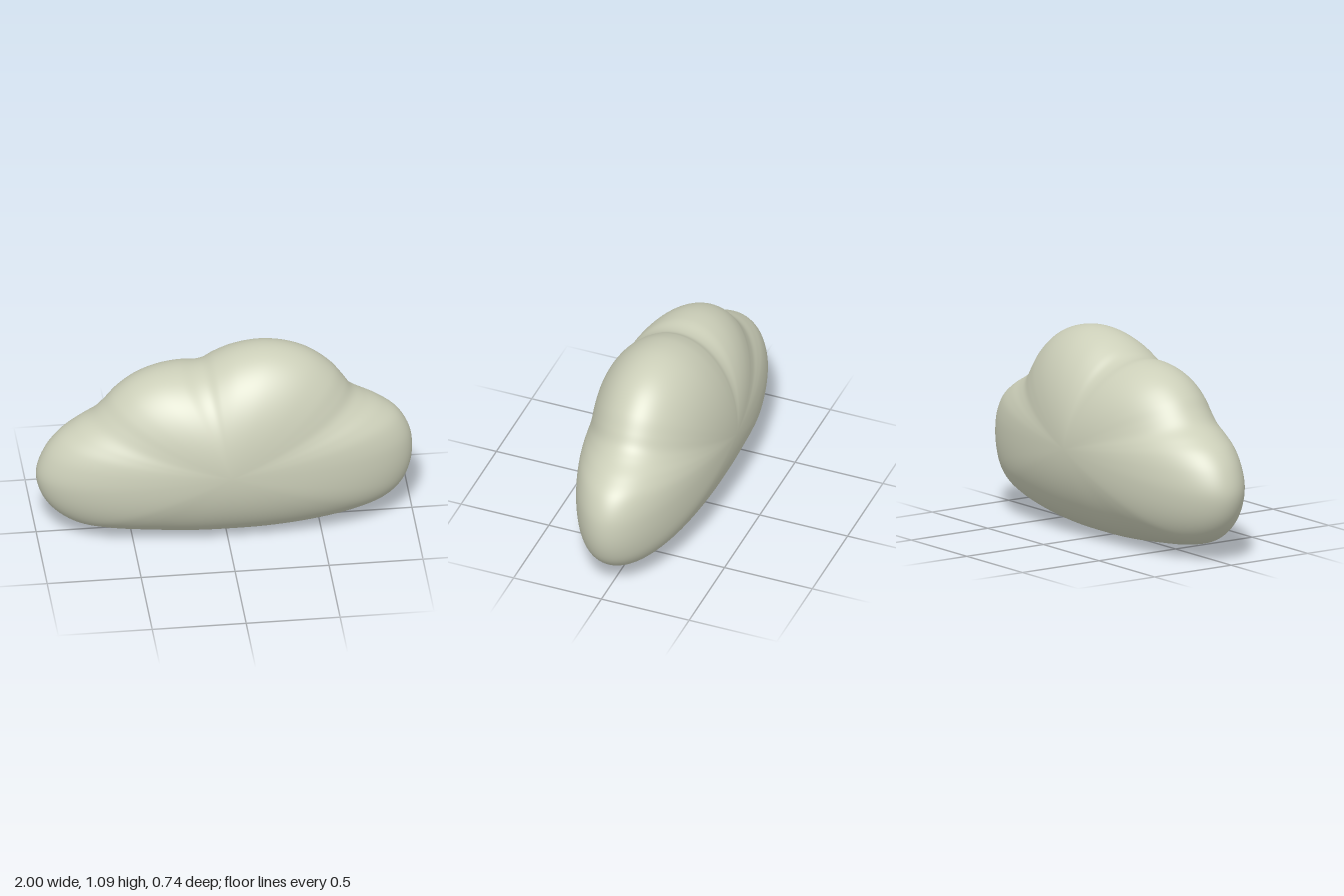
import * as THREE from 'three';
import { mergeVertices } from 'three/addons/utils/BufferGeometryUtils.js';

// Cloud outline, counter-clockwise seen from the front
const OUTLINE = [
  // right-hand lobe
  [1.0, 0.41], [0.985, 0.52], [0.93, 0.62], [0.84, 0.69], [0.745, 0.742], [0.685, 0.785],
  // tall top lobe
  [0.64, 0.85], [0.58, 0.93], [0.47, 1.02], [0.35, 1.07], [0.21, 1.088], [0.06, 1.065], [-0.05, 1.02],
  [-0.11, 0.985], [-0.16, 0.976],
  // lower top lobe
  [-0.25, 0.98], [-0.38, 0.96], [-0.5, 0.91], [-0.59, 0.84], [-0.65, 0.77], [-0.71, 0.71],
  // left-hand lobe
  [-0.8, 0.655], [-0.89, 0.59], [-0.96, 0.5], [-1.0, 0.38], [-0.98, 0.27], [-0.92, 0.175], [-0.82, 0.1],
  // gently bowed base
  [-0.68, 0.06], [-0.45, 0.03], [-0.2, 0.008], [0, 0.003], [0.25, 0.008], [0.5, 0.034], [0.72, 0.08],
  [0.87, 0.14], [0.945, 0.21], [0.985, 0.3],
];
const CENTER_Y = 0.5;
const HALF_DEPTH = 0.37;

// A sphere whose equator follows the outline and whose poles face front and back
function puffedOutline(points, centerY, halfDepth) {
  const curve = new THREE.CatmullRomCurve3(
    points.map(([x, y]) => new THREE.Vector3(x, y, 0)), true, 'centripetal');
  const geometry = new THREE.SphereGeometry(1, 228, 72);
  const pos = geometry.attributes.position;
  const uv = geometry.attributes.uv;
  const p = new THREE.Vector3();
  for (let i = 0; i < pos.count; i++) {
    const polar = (1 - uv.getY(i)) * Math.PI;
    const r = Math.sin(polar);
    curve.getPoint(THREE.MathUtils.euclideanModulo(uv.getX(i), 1), p);
    pos.setXYZ(i, p.x * r, centerY + (p.y - centerY) * r, halfDepth * Math.cos(polar));
  }
  // weld the seam so the shading stays smooth all round
  geometry.deleteAttribute('uv');
  geometry.deleteAttribute('normal');
  const welded = mergeVertices(geometry, 1e-5);
  welded.computeVertexNormals();
  return welded;
}

export function createModel() {
  const model = new THREE.Group();
  model.name = 'cloud';
  const body = new THREE.Mesh(
    puffedOutline(OUTLINE, CENTER_Y, HALF_DEPTH),
    new THREE.MeshStandardMaterial({ color: 0xcccfb9 }));
  body.name = 'cloudBody';
  model.add(body);
  return model;
}
